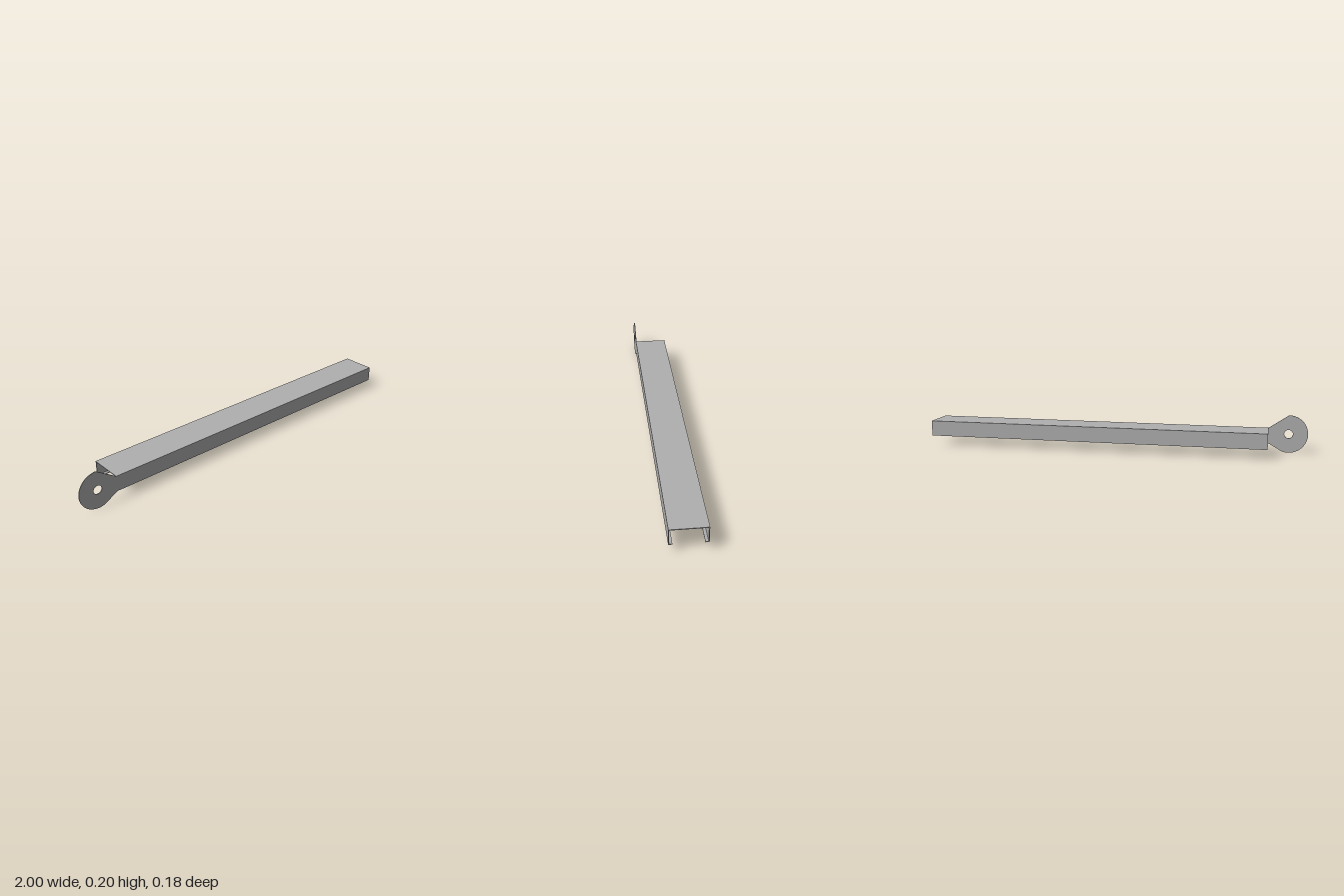
import * as THREE from 'three';

const T = 0.004;                    // sheet thickness
const HALF = 0.088;                 // half width of the channel
const BOTTOM = 0.046, TOP = 0.127;  // channel height range
const START = -0.8, END = 1;        // channel length range
const LIP = 0.018;                  // width of the inturned lips

export function createModel() {
  const group = new THREE.Group();
  group.name = 'channelRail';
  const steel = new THREE.MeshStandardMaterial({ color: 0xb0b0b0 });
  steel.name = 'steelGrey';

  const add = (name, geometry) => {
    const mesh = new THREE.Mesh(geometry, steel);
    mesh.name = name;
    group.add(mesh);
  };

  // Lipped channel: one folded cross-section swept along x
  const half = [
    [HALF - LIP, BOTTOM], [HALF, BOTTOM], [HALF, TOP],
  ];
  const inner = [
    [HALF - T, TOP - T], [HALF - T, BOTTOM + T], [HALF - LIP, BOTTOM + T],
  ];
  const mirror = (points) => points.map(([x, y]) => [-x, y]).reverse();
  const profile = [...half, ...mirror(half), ...mirror(inner), ...inner];
  const section = new THREE.Shape(profile.map(([x, y]) => new THREE.Vector2(x, y)));
  const channel = new THREE.ExtrudeGeometry(section, { depth: END - START, bevelEnabled: false });
  channel.rotateY(Math.PI / 2).translate(START, 0, 0);
  add('channel', channel);

  // Eye plate: round lug tapering into the front wall, with a bolt hole
  const cx = -0.902, cy = 0.098, r = 0.098;
  const lug = new THREE.Shape();
  lug.moveTo(START, BOTTOM);
  lug.lineTo(START, TOP);
  lug.lineTo(cx, cy + r);
  lug.absarc(cx, cy, r, Math.PI / 2, Math.PI * 1.6, false);
  lug.closePath();
  const hole = new THREE.Path();
  hole.absarc(cx, cy, 0.022, 0, Math.PI * 2, true);
  lug.holes.push(hole);
  const plate = new THREE.ExtrudeGeometry(lug, { depth: T, bevelEnabled: false, curveSegments: 32 });
  plate.translate(0, 0, HALF - T);
  add('eyePlate', plate);

  return group;
}
